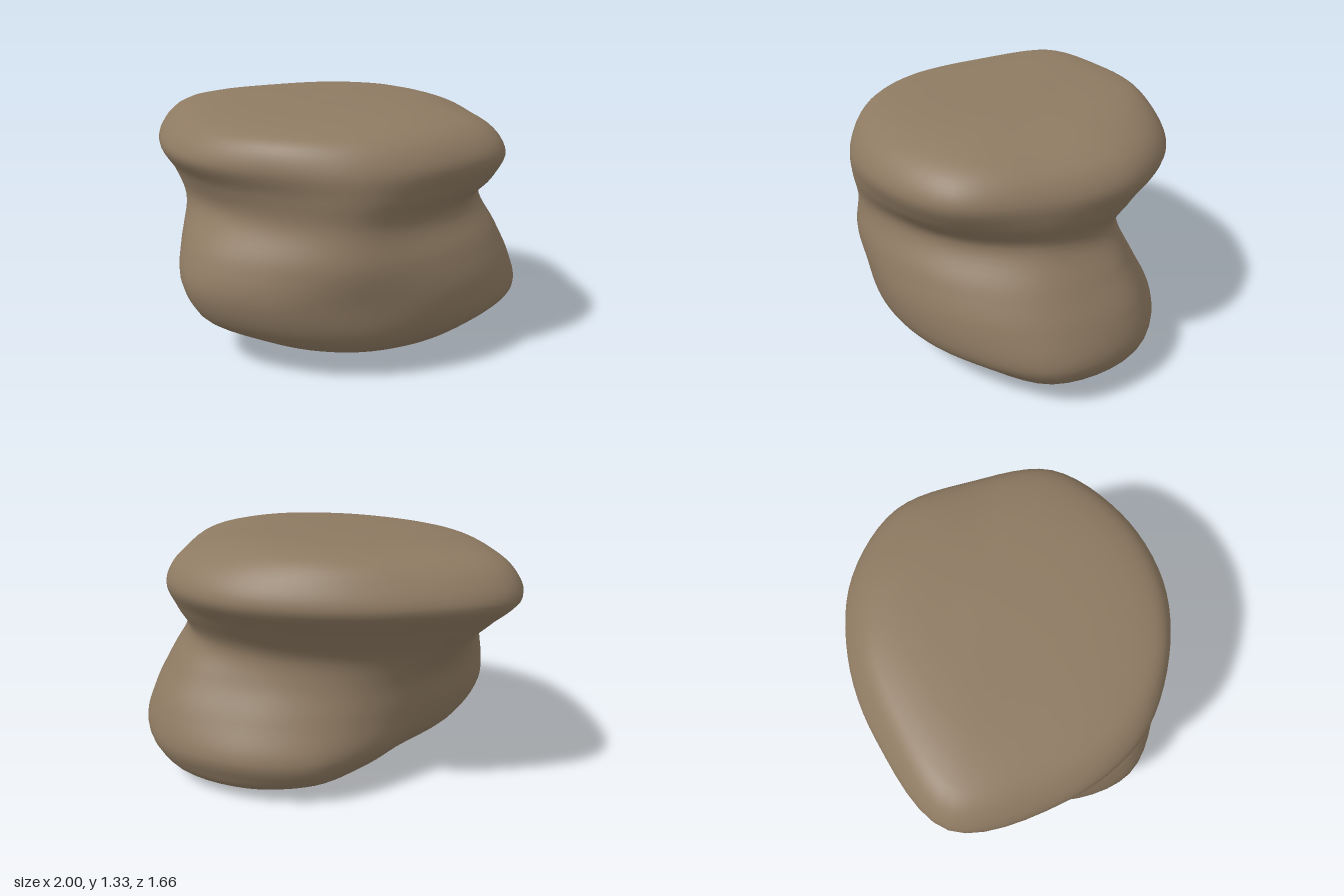
import * as THREE from 'three';
import { mergeVertices } from 'three/addons/utils/BufferGeometryUtils.js';

// Cross-sections from bottom to top: height, then radius every 30 degrees from +x towards +z
const SECTIONS = [
  [0.075, 0.78, 0.60, 0.53, 0.51, 0.51, 0.50, 0.43, 0.38, 0.42, 0.57, 0.71, 0.83],
  [0.160, 0.95, 0.76, 0.69, 0.68, 0.68, 0.69, 0.60, 0.49, 0.53, 0.67, 0.79, 0.94],
  [0.260, 1.00, 0.86, 0.77, 0.75, 0.79, 0.86, 0.73, 0.57, 0.59, 0.70, 0.82, 0.97],
  [0.440, 0.95, 0.87, 0.81, 0.79, 0.85, 0.94, 0.84, 0.63, 0.59, 0.63, 0.73, 0.92],
  [0.620, 0.86, 0.81, 0.79, 0.82, 0.83, 0.89, 0.85, 0.67, 0.59, 0.57, 0.63, 0.81],
  [0.810, 0.76, 0.72, 0.73, 0.80, 0.76, 0.77, 0.84, 0.79, 0.63, 0.57, 0.60, 0.72],
  [0.950, 0.81, 0.83, 0.80, 0.82, 0.78, 0.81, 0.89, 0.96, 0.77, 0.70, 0.72, 0.80],
  [1.080, 0.82, 0.89, 0.84, 0.82, 0.82, 0.89, 0.96, 1.09, 0.90, 0.83, 0.84, 0.86],
  [1.200, 0.74, 0.81, 0.77, 0.75, 0.77, 0.82, 0.88, 1.04, 0.85, 0.79, 0.79, 0.80],
  [1.282, 0.50, 0.58, 0.60, 0.59, 0.60, 0.64, 0.71, 0.90, 0.74, 0.68, 0.63, 0.56],
];
const AROUND = 72, UP = 66;

// Slant of a cross-section: underside leans to the right, waist dips at the back, top rises at the back
function slant(y, x, z) {
  if (y < 0.1) return -0.03 * x;
  if (y > 1.25) return 0.02 * x - 0.03 * z;
  return 0.08 * Math.min(z, 0) * Math.exp(-(((y - 0.81) / 0.12) ** 2));
}

// Smooth closed loop through one cross-section
function sectionLoop([y, ...radii]) {
  const points = radii.map((r, i) => {
    const a = (i / radii.length) * Math.PI * 2;
    const x = r * Math.cos(a), z = r * Math.sin(a);
    return new THREE.Vector3(x, y + slant(y, x, z), z);
  });
  const curve = new THREE.CatmullRomCurve3(points, true);
  return Array.from({ length: AROUND }, (_, i) => curve.getPoint(i / AROUND));
}

function boulderGeometry() {
  const loops = SECTIONS.map(sectionLoop);
  const base = new THREE.Vector3(0.12, 0, 0.17);
  const crown = new THREE.Vector3(0.06, 1.325, -0.12);
  const positions = [], index = [];
  const row = UP + 1;
  for (let i = 0; i < AROUND; i++) {
    // Meridian from base to crown
    const meridian = new THREE.CatmullRomCurve3([base, ...loops.map((l) => l[i]), crown]);
    for (let j = 0; j <= UP; j++) {
      const p = meridian.getPoint(j / UP);
      positions.push(p.x, Math.max(0, p.y), p.z);
    }
    // Quads between neighbouring meridians, single triangles at both poles
    for (let j = 0; j < UP; j++) {
      const a = i * row + j, b = ((i + 1) % AROUND) * row + j;
      if (j < UP - 1) index.push(a, a + 1, b + 1);
      if (j > 0) index.push(a, b + 1, b);
    }
  }
  const geometry = new THREE.BufferGeometry();
  geometry.setAttribute('position', new THREE.Float32BufferAttribute(positions, 3));
  geometry.setIndex(index);
  const merged = mergeVertices(geometry, 1e-5);
  merged.computeVertexNormals();
  return merged;
}

export function createModel() {
  const stone = new THREE.MeshStandardMaterial({ color: 0x8e7a62 });
  stone.name = 'brown stone';
  const boulder = new THREE.Mesh(boulderGeometry(), stone);
  boulder.name = 'boulder';
  const group = new THREE.Group();
  group.name = 'rock';
  group.add(boulder);
  return group;
}
